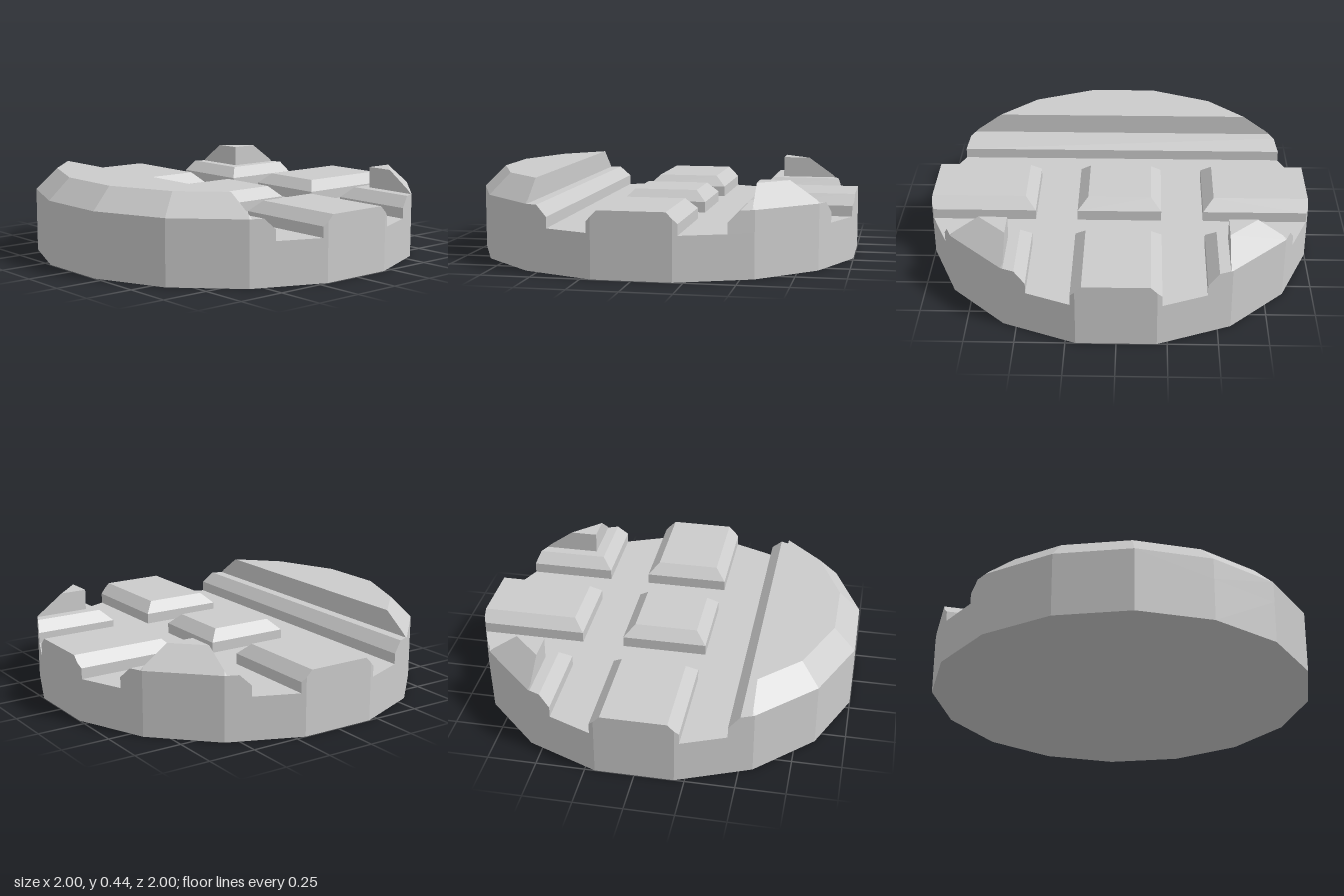
import * as THREE from 'three';
import { ConvexGeometry } from 'three/addons/geometries/ConvexGeometry.js';

const SIDES = 16;
const RADIUS = 1 / Math.cos(Math.PI / SIDES);
const U = 1 / 18; // module for grooves, chamfers and step heights
const FAR = 2;

// Sixteen-sided outline with flats on the x and z axes.
function outline(scale = 1) {
  return Array.from({ length: SIDES }, (_, i) => {
    const a = ((i + 0.5) / SIDES) * Math.PI * 2;
    return [Math.cos(a) * RADIUS * scale, Math.sin(a) * RADIUS * scale];
  });
}

// Keep the part of a convex polygon where sign * p[axis] <= limit.
function clip(poly, axis, sign, limit) {
  const out = [];
  poly.forEach((p, i) => {
    const q = poly[(i + 1) % poly.length];
    const dp = limit - sign * p[axis];
    const dq = limit - sign * q[axis];
    if (dp >= -1e-9) out.push(p);
    if ((dp > 1e-9 && dq < -1e-9) || (dp < -1e-9 && dq > 1e-9)) {
      const t = dp / (dp - dq);
      out.push([p[0] + (q[0] - p[0]) * t, p[1] + (q[1] - p[1]) * t]);
    }
  });
  return out;
}

// Cross-section: outline cut to a rectangle, whose sides are moved in by inset.
function section(y, [x0, x1, z0, z1], inset = 0, scale = 1) {
  let poly = outline(scale);
  poly = clip(poly, 0, -1, -x0 - inset);
  poly = clip(poly, 0, 1, x1 - inset);
  poly = clip(poly, 1, -1, -z0 - inset);
  poly = clip(poly, 1, 1, z1 - inset);
  return poly.map(([x, z]) => new THREE.Vector3(x, y, z));
}

export function createModel() {
  const group = new THREE.Group();
  const material = new THREE.MeshStandardMaterial({ color: 0xcccccc, flatShading: true });
  const add = (name, geometry) => {
    const mesh = new THREE.Mesh(geometry, material);
    mesh.name = name;
    group.add(mesh);
    return mesh;
  };

  // Groove floor and body
  const base = new THREE.CylinderGeometry(RADIUS, RADIUS, 4 * U, SIDES, 1, false, Math.PI / SIDES);
  add('base', base).position.y = 2 * U;

  // Tread block: short vertical wall, then a chamfer along the grooves.
  // The middle level sits where an outline corner meets the chamfer.
  const cornerInset = 4 * U - RADIUS * Math.sin(Math.PI / SIDES);
  const block = (name, rect) => add(name, new ConvexGeometry([
    ...section(4 * U, rect),
    ...section(5 * U, rect),
    ...section(5 * U + cornerInset, rect, cornerInset),
    ...section(6 * U, rect, U),
  ]));

  // Raised rim: outer edge slopes inward, inner cuts stay vertical.
  // The middle level sits where a sloping ridge meets the cut.
  const ridgeScale = 10 * U / (RADIUS * Math.sin(3 * Math.PI / SIDES));
  const rim = (name, rect) => add(name, new ConvexGeometry([
    ...section(6 * U, rect),
    ...section(6 * U + (1 - ridgeScale) * RADIUS * Math.cos(Math.PI / SIDES), rect, 0, ridgeScale),
    ...section(8 * U, rect, 0, 1 - 2 * U),
  ]));

  // Front segment
  block('frontBlock', [-FAR, FAR, 8 * U, FAR]);
  rim('frontRim', [-FAR, FAR, 10 * U, FAR]);

  // Middle column
  block('centerBlock', [-4 * U, 4 * U, -4 * U, 4 * U]);
  block('backBlock', [-4 * U, 4 * U, -FAR, -8 * U]);

  // Mirrored side columns
  for (const [side, sign] of [['left', 1], ['right', -1]]) {
    const xRange = (inner) => (sign > 0 ? [inner, FAR] : [-FAR, -inner]);
    block(side + 'Block', [...xRange(8 * U), -4 * U, 4 * U]);
    block(side + 'BackBlock', [...xRange(8 * U), -FAR, -8 * U]);
    rim(side + 'BackRim', [...xRange(10 * U), -FAR, -10 * U]);
  }

  return group;
}
